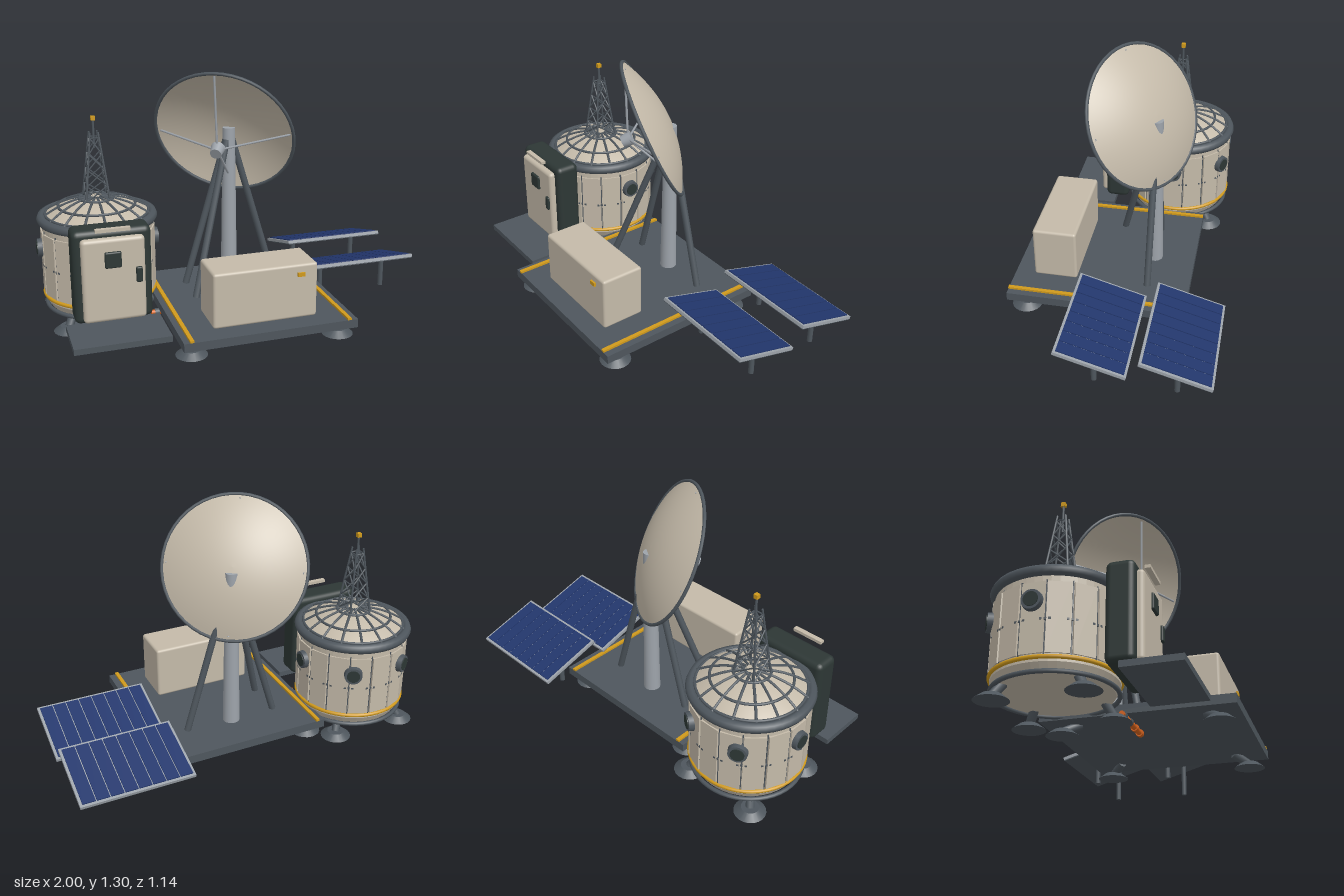
import * as THREE from 'three';
import { RoundedBoxGeometry } from 'three/addons/geometries/RoundedBoxGeometry.js';

const mat = (name, color, side = THREE.FrontSide) => {
  const m = new THREE.MeshStandardMaterial({ color, side });
  m.name = name;
  return m;
};
const V = (x, y, z) => new THREE.Vector3(x, y, z);

export function createModel() {
  const cream = mat('cream', 0xc4baa9, THREE.DoubleSide);
  const steel = mat('dark steel', 0x4e565d);
  const silver = mat('light metal', 0x9da3aa);
  const black = mat('dark green black', 0x2d3735);
  const yellow = mat('safety yellow', 0xd09a1c);
  const blue = mat('solar blue', 0x22366c);
  const orange = mat('pipe orange', 0xd9641c);

  const root = new THREE.Group();
  root.name = 'outpost';
  const group = (name, x = 0, y = 0, z = 0, parent = root) => {
    const g = new THREE.Group();
    g.name = name;
    g.position.set(x, y, z);
    parent.add(g);
    return g;
  };
  const add = (parent, name, geo, m, x = 0, y = 0, z = 0) => {
    const mesh = new THREE.Mesh(geo, m);
    mesh.name = name;
    mesh.position.set(x, y, z);
    parent.add(mesh);
    return mesh;
  };
  const box = (p, name, m, w, h, d, x, y, z) => add(p, name, new THREE.BoxGeometry(w, h, d), m, x, y, z);
  const rbox = (p, name, m, w, h, d, r, x, y, z) => add(p, name, new RoundedBoxGeometry(w, h, d, 3, r), m, x, y, z);
  const rod = (p, name, m, a, b, r0, r1 = r0, sides = 10) => {
    const dir = b.clone().sub(a);
    const mesh = add(p, name, new THREE.CylinderGeometry(r1, r0, dir.length(), sides), m);
    mesh.position.copy(a).addScaledVector(dir, 0.5);
    mesh.quaternion.setFromUnitVectors(V(0, 1, 0), dir.normalize());
    return mesh;
  };
  const ring = (p, name, m, R, r, y) => {
    const t = add(p, name, new THREE.TorusGeometry(R, r, 8, 48), m, 0, y, 0);
    t.rotation.x = Math.PI / 2;
    return t;
  };
  // Landing pad with a short strut leaning towards (tx, tz)
  const foot = (p, x, z, tx, tz, top) => {
    add(p, 'footPad', new THREE.CylinderGeometry(0.045, 0.08, 0.028, 20), steel, x, 0.014, z);
    rod(p, 'footStrut', steel, V(x, 0.02, z), V(tx, top, tz), 0.022);
  };

  // Platform
  const base = group('platform');
  box(base, 'deck', steel, 0.9, 0.045, 0.935, 0.03, 0.0825, 0.1);
  for (const x of [-0.38, 0.435]) box(base, 'edgeStripe', yellow, 0.02, 0.012, 0.935, x, 0.11, 0.1);
  for (const x of [-0.36, 0.41]) for (const z of [-0.27, 0.477])
    foot(base, x, z, x * 0.85, z + (z > 0 ? -0.07 : 0.07), 0.065);

  // Equipment box
  rbox(base, 'equipmentBox', cream, 0.543, 0.287, 0.232, 0.014, 0.028, 0.248, 0.347);
  box(base, 'boxLabel', yellow, 0.038, 0.02, 0.012, 0.21, 0.34, 0.467);

  // Pipe under the deck with couplings
  rod(base, 'pipe', orange, V(-0.46, 0.047, 0.05), V(-0.145, 0.047, 0.05), 0.014);
  for (const x of [-0.43, -0.34, -0.25, -0.17])
    rod(base, 'pipeCoupling', x < -0.3 ? steel : orange, V(x - 0.012, 0.047, 0.05), V(x + 0.012, 0.047, 0.05), 0.019);

  // Dish mast and bracing legs
  const mast = group('dishMast', 0.03, 0, -0.146);
  rod(mast, 'mastColumn', silver, V(0, 0.1, 0), V(0, 0.965, 0), 0.045, 0.033, 24);
  for (const [x, z] of [[0.255, 0], [-0.25, 0.21], [-0.25, 0]])
    rod(mast, 'mastLeg', steel, V(x, 0.105, z), V(x * 0.07, 0.9, z * 0.07), 0.018);

  // Dish: local y is the pointing axis, origin at the rim centre
  const dish = group('dish', -0.022, 0.951, -0.07);
  const n = V(-0.49, -0.42, 0.76).normalize();
  const side = n.clone().cross(V(-0.09, 0.323, 0.12)).normalize();
  dish.quaternion.setFromRotationMatrix(new THREE.Matrix4().makeBasis(side, n, side.clone().cross(n)));
  const R = 0.372, depth = 0.1, bowl = [];
  for (let i = 0; i <= 12; i++) bowl.push(new THREE.Vector2(R * i / 12, depth * ((i / 12) ** 2 - 1)));
  add(dish, 'bowl', new THREE.LatheGeometry(bowl, 48), cream);
  ring(dish, 'rim', steel, R, 0.009, 0);
  for (let i = 0; i < 4; i++) {
    const a = i * Math.PI / 2;
    rod(dish, 'feedStrut', silver, V(0.352 * Math.sin(a), -0.01, 0.352 * Math.cos(a)), V(0, 0.14, 0), 0.006, 0.006, 6);
  }
  add(dish, 'feedHorn', new THREE.CylinderGeometry(0.03, 0.038, 0.055, 16), silver, 0, 0.145, 0);

  // Solar panels, tilted with the front edge raised
  for (const zc of [-0.395, 0.008]) {
    const panel = group('solarPanel', 0.705, 0.19, zc);
    const tilt = group('panelTilt', 0, 0, 0, panel);
    tilt.rotation.x = -0.285;
    box(tilt, 'panelFrame', silver, 0.575, 0.016, 0.36, 0, 0.002, 0);
    box(tilt, 'panelBack', steel, 0.57, 0.006, 0.355, 0, -0.008, 0);
    for (let i = 0; i < 8; i++) box(tilt, 'solarCell', blue, 0.064, 0.006, 0.335, (i - 3.5) * 0.0693, 0.012, 0);
    for (const x of [-0.19, 0.19]) rod(panel, 'panelPost', steel, V(x, -0.178, 0), V(x, -0.005, 0), 0.014);
  }

  // Habitat module
  const hab = group('habitat', -0.685, 0, -0.18);
  const hull = [[0, 0.075], [0.265, 0.075], [0.288, 0.115], [0.288, 0.54], [0.27, 0.55]].map(p => new THREE.Vector2(...p));
  const hullGeo = new THREE.LatheGeometry(hull, 48).toNonIndexed();
  hullGeo.computeVertexNormals();
  add(hab, 'hull', hullGeo, cream);
  ring(hab, 'bottomRing', steel, 0.282, 0.011, 0.075);
  ring(hab, 'yellowBand', yellow, 0.291, 0.01, 0.135);
  ring(hab, 'topRing', steel, 0.288, 0.026, 0.537);
  for (let i = 0; i < 16; i++) {
    const spoke = group('hullBay', 0, 0, 0, hab);
    spoke.rotation.y = (i + 0.5) * Math.PI / 8;
    box(spoke, 'hullSeam', steel, 0.005, 0.35, 0.008, 0, 0.315, 0.288);
    box(spoke, 'seamBracket', steel, 0.05, 0.01, 0.014, 0, 0.305, 0.29);
    const bay = group('panelMount', 0, 0, 0, hab);
    bay.rotation.y = i * Math.PI / 8;
    box(bay, 'hullPanel', cream, 0.104, 0.33, 0.012, 0, 0.315, 0.288);
  }

  // Dome with its ribs
  const domeH = r => 0.55 + Math.sqrt(0.48 ** 2 - r * r) - 0.39;
  const radii = [0, 0.05, 0.1, 0.15, 0.2, 0.25, 0.28];
  add(hab, 'dome', new THREE.LatheGeometry(radii.map(r => new THREE.Vector2(r, domeH(r))).reverse(), 48), cream);
  const ribCurve = new THREE.CatmullRomCurve3([0.03, 0.1, 0.17, 0.23, 0.28].map(r => V(r, domeH(r) + 0.002, 0)));
  const ribGeo = new THREE.TubeGeometry(ribCurve, 8, 0.007, 6);
  for (let i = 0; i < 16; i++) add(hab, 'domeRib', ribGeo, steel).rotation.y = i * Math.PI / 8;
  for (const r of [0.09, 0.2, 0.268]) ring(hab, 'domeRing', steel, r, 0.007, domeH(r) + 0.002);

  // Portholes around the sides and back
  for (let i = 0; i < 4; i++) {
    const port = group('porthole', 0, 0.39, 0, hab);
    port.rotation.y = i * Math.PI / 3;
    rod(port, 'portholeFrame', steel, V(0.28, 0, 0), V(0.318, 0, 0), 0.05, 0.046, 24);
    rod(port, 'portholeGlass', black, V(0.31, 0, 0), V(0.322, 0, 0), 0.034, 0.034, 24);
  }
  for (const x of [-1, 1]) for (const z of [-1, 1]) foot(hab, x * 0.2, z * 0.205, x * 0.17, z * 0.17, 0.085);

  // Lattice antenna on the dome
  const mastY = 0.625, levels = 4, corners = [[1, 1], [1, -1], [-1, -1], [-1, 1]];
  const node = (c, l) => {
    const w = 0.062 - 0.038 * l / levels;
    return V(corners[c % 4][0] * w, mastY + 0.33 * l / levels, corners[c % 4][1] * w);
  };
  for (let c = 0; c < 4; c++) {
    rod(hab, 'towerLeg', steel, node(c, 0), node(c, levels + 0.35), 0.006, 0.005, 6);
    for (let l = 0; l < levels; l++) {
      rod(hab, 'towerBrace', steel, node(c, l), node(c + 1, l + 1), 0.004, 0.004, 5);
      rod(hab, 'towerBrace', steel, node(c + 1, l), node(c, l + 1), 0.004, 0.004, 5);
    }
    rod(hab, 'towerTie', steel, node(c, levels), node(c + 1, levels), 0.004, 0.004, 5);
  }
  rod(hab, 'towerSpike', steel, V(0, 0.9, 0), V(0, 1.05, 0), 0.006);
  box(hab, 'beacon', yellow, 0.022, 0.022, 0.022, 0, 1.055, 0);

  // Airlock with door, window, handle, lamp bar and doorstep
  const lock = group('airlock', -0.683, 0, 0);
  rbox(lock, 'airlockFrame', black, 0.39, 0.48, 0.135, 0.03, 0, 0.355, 0.168);
  rbox(lock, 'airlockDoor', cream, 0.312, 0.43, 0.05, 0.02, 0, 0.343, 0.242);
  rbox(lock, 'doorWindow', black, 0.082, 0.082, 0.02, 0.008, -0.004, 0.452, 0.27);
  rbox(lock, 'doorHandle', black, 0.032, 0.08, 0.02, 0.008, 0.122, 0.363, 0.27);
  box(lock, 'lampBar', cream, 0.17, 0.016, 0.026, 0, 0.603, 0.262);
  box(lock, 'doorstep', steel, 0.475, 0.03, 0.275, 0, 0.085, 0.318);

  return root;
}
